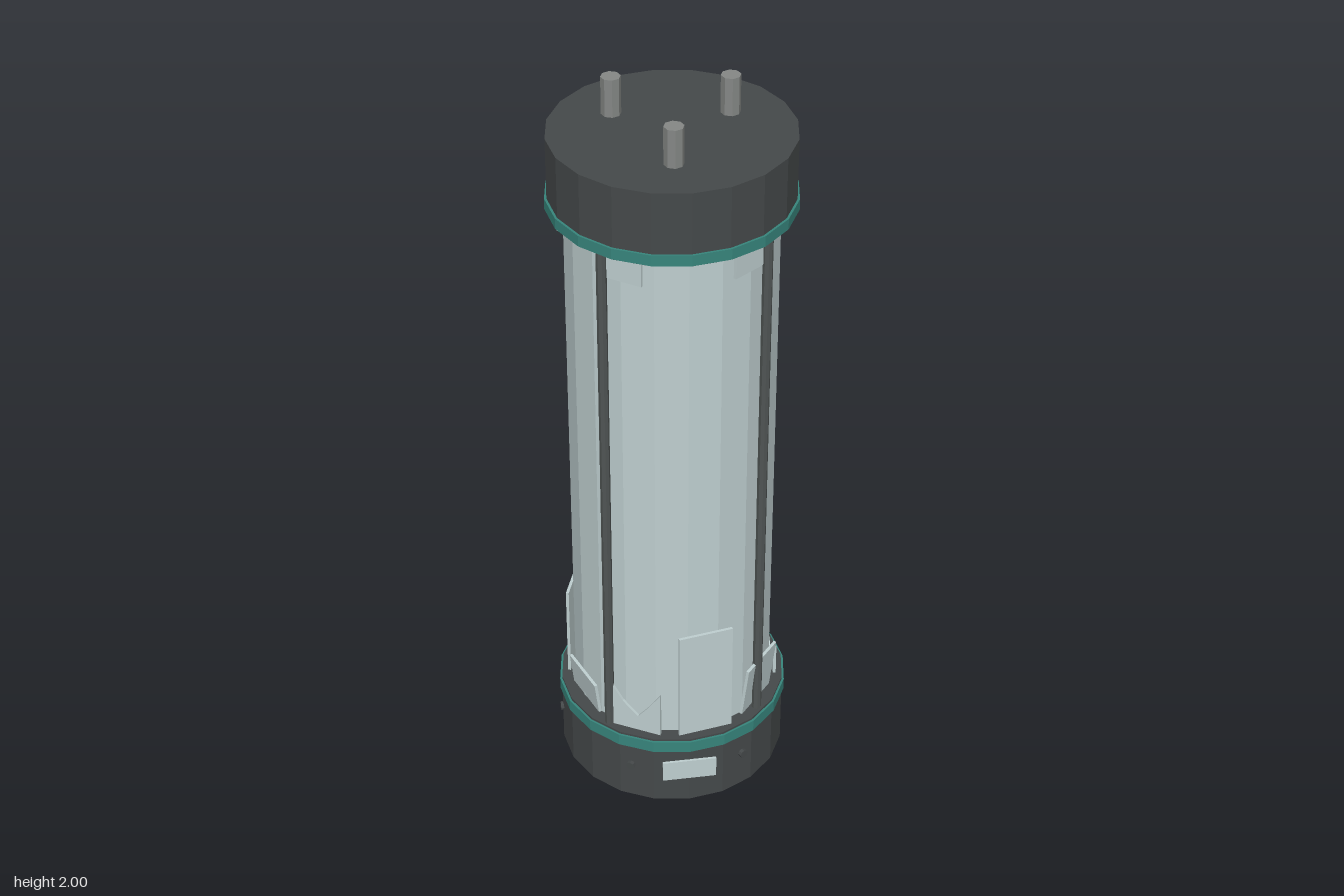
import * as THREE from 'three';

const mat = (name, color, extra = {}) => {
  const m = new THREE.MeshStandardMaterial({ color, flatShading: true, ...extra });
  m.name = name;
  return m;
};

export function createModel() {
  const dark = mat('dark metal', 0x45494a);
  const teal = mat('teal band', 0x37857c);
  const steel = mat('steel', 0x858886);
  const glass = mat('pale glass', 0xbfcfd0, { side: THREE.DoubleSide });
  const rodMetal = mat('rod metal', 0x505554);
  const model = new THREE.Group();
  model.name = 'canister';
  const SIDES = 20;

  const add = (name, geometry, material, parent = model) => {
    const mesh = new THREE.Mesh(geometry, material);
    mesh.name = name;
    parent.add(mesh);
    return mesh;
  };
  const drum = (name, r, y0, y1, material, sides = SIDES, x = 0, z = 0) => {
    const mesh = add(name, new THREE.CylinderGeometry(r, r, y1 - y0, sides), material);
    mesh.position.set(x, (y0 + y1) / 2, z);
    return mesh;
  };
  // Pivot turned so that its local +z points outward at an angle in degrees
  const spoke = (name, degrees) => {
    const g = new THREE.Group();
    g.name = name;
    g.rotation.y = THREE.MathUtils.degToRad(degrees);
    model.add(g);
    return g;
  };

  // End caps with raised bands, and the glass tube between them
  drum('baseCap', 0.306, 0, 0.217, dark);
  drum('baseBand', 0.312, 0.177, 0.211, teal);
  drum('topCap', 0.306, 1.704, 1.9, dark);
  drum('topBand', 0.312, 1.708, 1.737, teal);
  drum('glassTube', 0.268, 0.2, 1.72, glass);

  // Contact pins on top
  for (const [x, z] of [[-0.133, -0.102], [0.153, -0.066], [-0.021, 0.164]])
    drum('contactPin', 0.025, 1.89, 2, steel, 8, x, z);

  // Four tie rods
  for (let i = 0; i < 4; i++) {
    const a = Math.PI * (0.25 + i / 2);
    drum('tieRod', 0.013, 0.2, 1.72, rodMetal, 8, 0.284 * Math.sin(a), 0.284 * Math.cos(a));
  }

  // Six bolts around the base
  for (let i = 0; i < 6; i++) {
    const g = spoke('boltMount', 30 + i * 60);
    const bolt = add('bolt', new THREE.CylinderGeometry(0.012, 0.012, 0.016, 8), dark, g);
    bolt.rotation.x = Math.PI / 2;
    bolt.position.set(0, 0.11, 0.305);
  }

  // Blank plate on the front of the base
  const plate = add('frontPlate', new THREE.BoxGeometry(0.145, 0.062, 0.007), glass);
  plate.position.set(0, 0.114, 0.309);

  // Nine glass shards round the base: upright, leaning and jagged in turn
  const heights = [0.335, 0.16, 0.09, 0.22, 0.34, 0.09, 0.275, 0.1, 0.14];
  heights.forEach((h, i) => {
    const g = spoke('shardMount', 10 + i * 40);
    const leaning = i % 3 === 1, jagged = i % 3 === 2;
    const w = 0.074;
    const s = new THREE.Shape();
    s.moveTo(-w, -0.01);
    s.lineTo(w, -0.01);
    s.lineTo(w, h);
    if (jagged) {
      s.lineTo(w * 0.5, h * 0.6);
      s.lineTo(0.01, h * 0.35);
      s.lineTo(-w * 0.45, h * 0.65);
    }
    s.lineTo(-w, h * (jagged ? 1.1 : 1));
    const geo = new THREE.ExtrudeGeometry(s, { depth: 0.008, bevelEnabled: false });
    const shard = add(jagged ? 'jaggedShard' : 'glassShard', geo, glass, g);
    shard.position.set(0, 0.215, leaning ? 0.258 : 0.27);
    shard.rotation.x = leaning ? 0.12 : 0;
  });

  // Five short glass tabs hanging below the top cap
  for (let i = 0; i < 5; i++) {
    const g = spoke('tabMount', 36 + i * 72);
    add('topTab', new THREE.BoxGeometry(0.12, 0.085, 0.008), glass, g).position.set(0, 1.67, 0.272);
  }
  return model;
}
